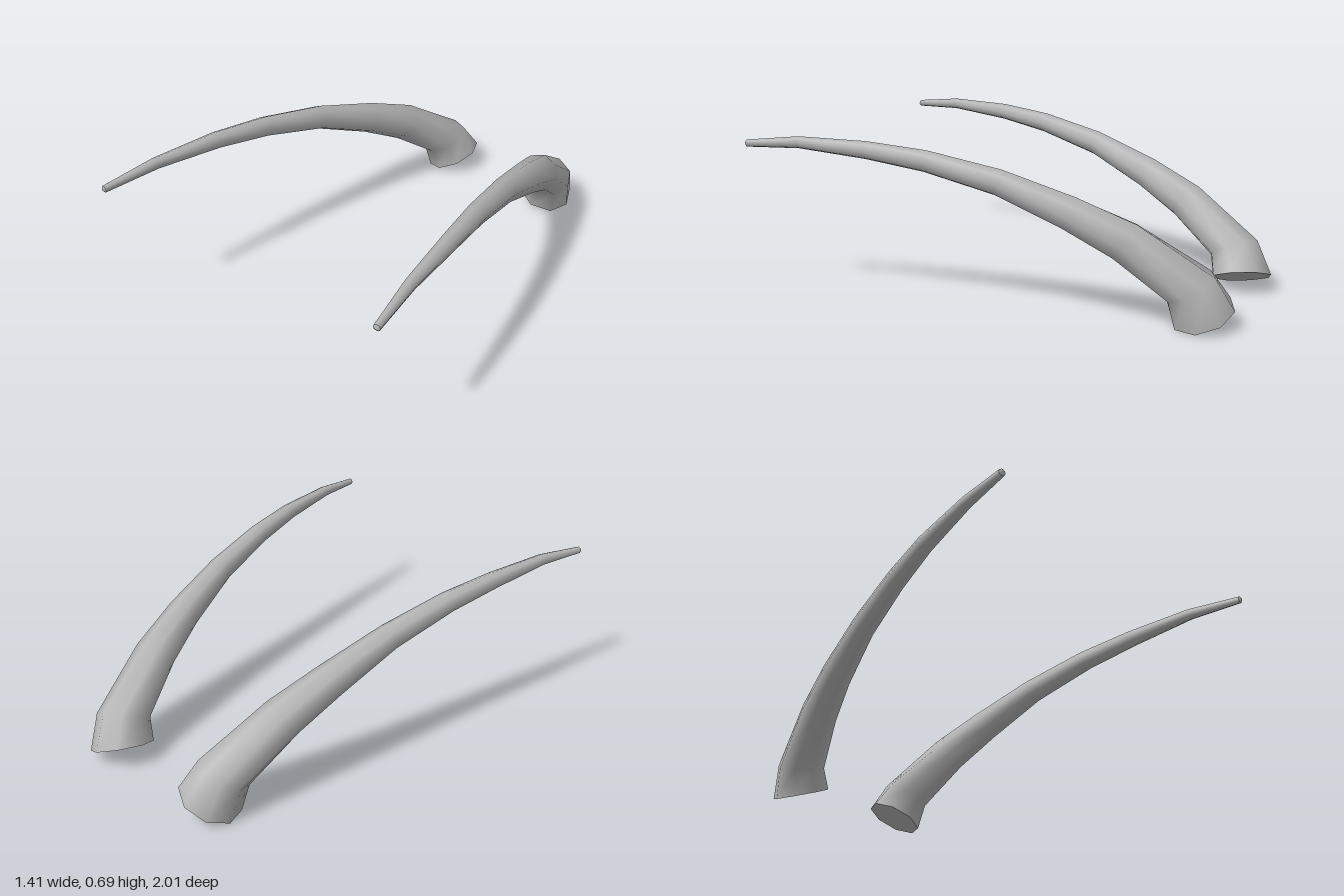
import * as THREE from 'three';

const SIDES = 8;

// Horn stations from base to tip: centre x, y, z and radius
const STATIONS = [
  [0.275, 0.055, -0.88, 0.132],
  [0.31, 0.17, -0.835, 0.11],
  [0.385, 0.34, -0.59, 0.087],
  [0.44, 0.44, -0.38, 0.072],
  [0.5, 0.548, -0.1, 0.055],
  [0.558, 0.618, 0.2, 0.045],
  [0.605, 0.65, 0.45, 0.037],
  [0.65, 0.666, 0.75, 0.025],
  [0.688, 0.65, 0.99, 0.015],
];

// The lowest rings lean back from the curve so the root stands upright
const LEANS = [[0.42, 1, 0.2], [0.32, 1, 0.45], [0.25, 0.6, 0.8]];

// One ring of points, counter-clockwise around the horn direction
function ring(i, side) {
  const [x, y, z, r] = STATIONS[i];
  const before = STATIONS[i - 1] ?? STATIONS[i];
  const after = STATIONS[i + 1] ?? STATIONS[i];
  const dir = LEANS[i] ?? [0, 1, 2].map((k) => after[k] - before[k]);
  const t = new THREE.Vector3(dir[0] * side, dir[1], dir[2]).normalize();
  const u = new THREE.Vector3(1, 0, 0).addScaledVector(t, -t.x).normalize();
  const v = new THREE.Vector3().crossVectors(t, u);
  const centre = new THREE.Vector3(x * side, y, z);
  const points = [];
  for (let j = 0; j < SIDES; j++) {
    const a = (j / SIDES) * Math.PI * 2;
    points.push(centre.clone().addScaledVector(u, r * Math.cos(a)).addScaledVector(v, r * Math.sin(a)));
  }
  return { points, centre, t };
}

function geometryFrom(points, index) {
  const g = new THREE.BufferGeometry().setFromPoints(points);
  g.setIndex(index);
  g.computeVertexNormals();
  return g;
}

// Closing fan for one end of the horn
function cap({ points, centre, t }, direction, bulge) {
  const index = [];
  for (let j = 0; j < SIDES; j++) {
    const k = (j + 1) % SIDES;
    index.push(SIDES, ...(direction > 0 ? [j, k] : [k, j]));
  }
  const hub = centre.clone().addScaledVector(t, bulge * direction);
  return geometryFrom([...points, hub], index);
}

function makeHorn(side, material) {
  const rings = STATIONS.map((_, i) => ring(i, side));
  const index = [];
  for (let i = 0; i < rings.length - 1; i++) {
    for (let j = 0; j < SIDES; j++) {
      const k = (j + 1) % SIDES;
      const a = i * SIDES + j, b = i * SIDES + k;
      index.push(a, b, b + SIDES, a, b + SIDES, a + SIDES);
    }
  }
  const horn = new THREE.Group();
  const add = (name, geometry) => {
    const mesh = new THREE.Mesh(geometry, material);
    mesh.name = name;
    horn.add(mesh);
  };
  add('hornShaft', geometryFrom(rings.flatMap((r) => r.points), index));
  add('hornBase', cap(rings[0], -1, 0));
  add('hornTip', cap(rings[rings.length - 1], 1, 0.01));
  return horn;
}

export function createModel() {
  const model = new THREE.Group();
  model.name = 'hornPair';
  const hornGrey = new THREE.MeshStandardMaterial({ color: 0xb4b4b4 });
  hornGrey.name = 'hornGrey';
  for (const side of [1, -1]) {
    const horn = makeHorn(side, hornGrey);
    horn.name = side > 0 ? 'leftHorn' : 'rightHorn';
    model.add(horn);
  }
  return model;
}
